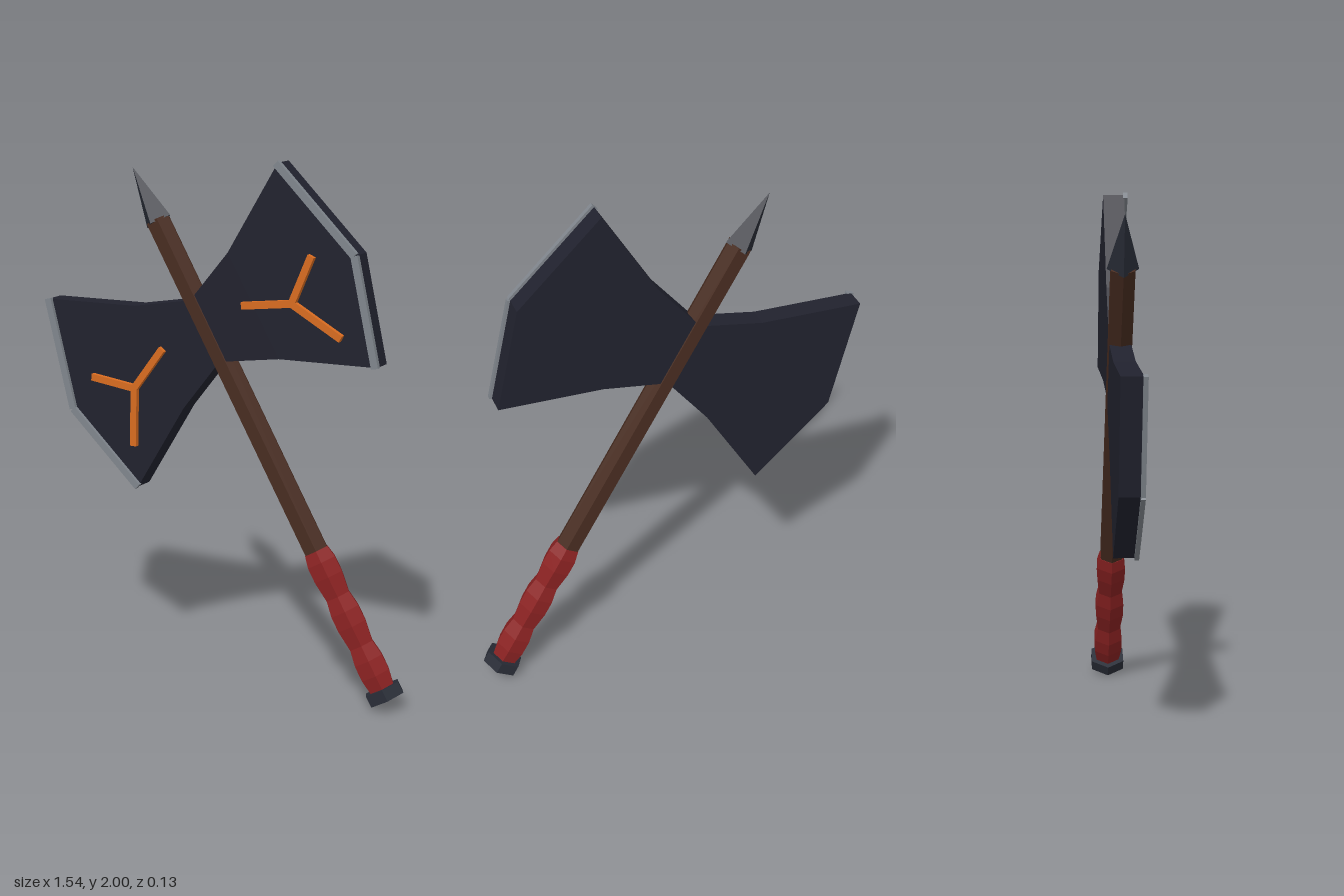
import * as THREE from 'three';

const paint = (name, color) => {
  const m = new THREE.MeshStandardMaterial({ color });
  m.name = name;
  return m;
};

export function createModel() {
  const blackSteel = paint('black steel', 0x21222e);
  const darkIron = paint('dark iron', 0x292d37);
  const wood = paint('dark wood', 0x482c20);
  const leather = paint('red leather', 0x8b2222);
  const silver = paint('silver edge', 0x80868d);
  const ember = paint('orange rune', 0xd96c20);

  // The axe is built upright, then leaned over
  const axe = new THREE.Group();
  axe.name = 'axe';

  const add = (name, geometry, material, x = 0, y = 0, z = 0) => {
    const flat = geometry.index ? geometry.toNonIndexed() : geometry;
    flat.computeVertexNormals();
    const mesh = new THREE.Mesh(flat, material);
    mesh.name = name;
    mesh.position.set(x, y, z);
    axe.add(mesh);
    return mesh;
  };
  const hexRod = (r, h) => new THREE.CylinderGeometry(r, r, h, 6, 1, false, Math.PI / 2);

  // Flat bar between two points on the face of a blade
  const bar = (name, a, b, width, z0, z1, material) => {
    const dx = b[0] - a[0], dy = b[1] - a[1];
    const box = new THREE.BoxGeometry(Math.hypot(dx, dy), width, z1 - z0);
    const mesh = add(name, box, material, (a[0] + b[0]) / 2, (a[1] + b[1]) / 2, (z0 + z1) / 2);
    mesh.rotation.z = Math.atan2(dy, dx);
  };

  // Handle
  add('pommel', hexRod(0.075, 0.045), darkIron, 0, 0.0225);
  add('shaft', hexRod(0.05, 1.4), wood, 0, 1.27);
  add('spike', new THREE.ConeGeometry(0.058, 0.227, 4), darkIron, 0, 2.076);

  // Rippled grip
  const gripProfile = [
    [0, 0.04], [0.052, 0.04], [0.063, 0.1], [0.063, 0.16], [0.052, 0.22], [0.063, 0.3],
    [0.063, 0.36], [0.052, 0.42], [0.063, 0.5], [0.063, 0.56], [0.052, 0.605], [0, 0.605],
  ].map(([r, y]) => new THREE.Vector2(r, y));
  add('grip', new THREE.LatheGeometry(gripProfile, 6, Math.PI / 2), leather);

  // Twin blades with silver cutting edges and three-armed runes
  const mid = 1.515;
  for (const s of [1, -1]) {
    const side = s > 0 ? 'left' : 'right';
    const outline = [
      [0, -0.125], [0.235, -0.217], [0.583, -0.405], [0.703, -0.02],
      [0.583, 0.403], [0.235, 0.213], [0, 0.128],
    ].map(([x, y]) => new THREE.Vector2(s * x, mid + y));
    const blade = new THREE.ExtrudeGeometry(new THREE.Shape(outline), { depth: 0.08, bevelEnabled: false });
    add(side + 'Blade', blade, blackSteel, 0, 0, -0.04);

    const corners = [[0.579, -0.405], [0.699, -0.02], [0.579, 0.403]]
      .map(([x, y]) => [s * x, mid + y]);
    for (let i = 0; i < 2; i++) {
      bar(side + 'CuttingEdge', corners[i], corners[i + 1], 0.028, 0.036, 0.053, silver);
    }

    for (const [x, y] of [[0.547, 1.568], [0.199, 1.532], [0.51, 1.258]]) {
      bar(side + 'Rune', [s * 0.391, 1.452], [s * x, y], 0.027, 0.036, 0.058, ember);
    }
  }

  axe.rotation.z = Math.PI / 6;
  axe.position.set(0.7, 0.04, 0);

  const model = new THREE.Group();
  model.name = 'doubleAxe';
  model.add(axe);
  return model;
}
